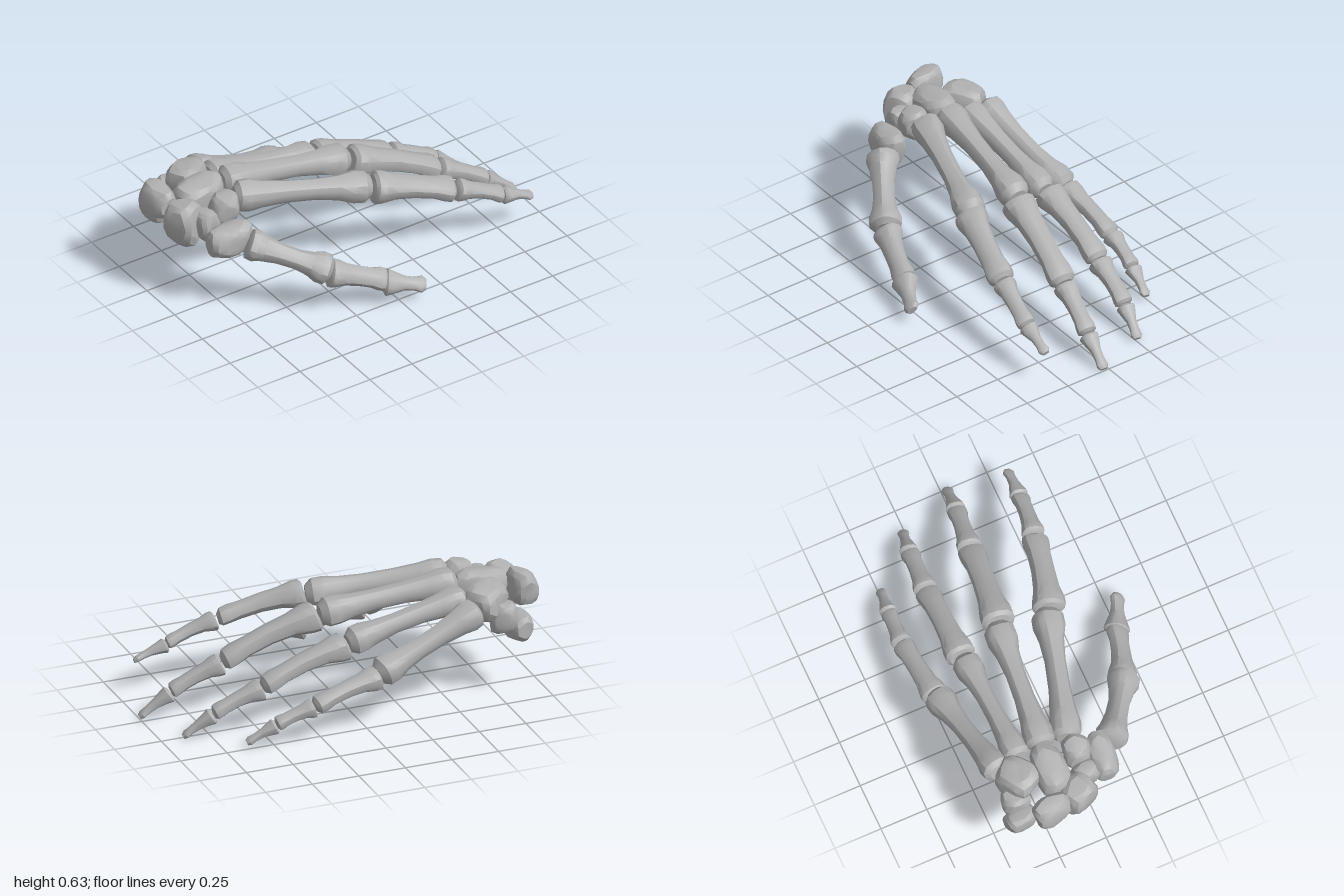
import * as THREE from 'three';
import { toCreasedNormals } from 'three/addons/utils/BufferGeometryUtils.js';

const SIDES = 12;

// Stations along a bone: [position 0..1, width factor, height factor]
const PROFILES = {
  metacarpal: [[0, .6, .6], [.03, .95, .95], [.1, 1, 1], [.2, .82, .84], [.38, .66, .7], [.6, .63, .67],
    [.76, .76, .78], [.87, 1, .97], [.95, .98, .98], [1, .62, .62]],
  phalanx: [[0, .75, .72], [.03, 1, .92], [.11, .98, .9], [.27, .78, .68], [.5, .7, .6], [.74, .7, .56],
    [.88, .82, .64], [.96, .8, .6], [1, .5, .36]],
  tip: [[0, .7, .66], [.06, 1, .85], [.2, .86, .7], [.48, .54, .48], [.72, .5, .38], [.9, .62, .38], [1, .4, .24]],
};

// Loft a bone from a to b: squarish rings, a flatter palm side, a shaft bowed upward
function boneGeometry(a, b, radius, profile, bow, roll) {
  const start = new THREE.Vector3(...a), end = new THREE.Vector3(...b);
  const dir = end.clone().sub(start).normalize();
  const side = new THREE.Vector3(0, 1, 0).cross(dir).normalize().applyAxisAngle(dir, roll);
  const up = dir.clone().cross(side);
  const pos = [], index = [];
  for (const [t, w, h] of profile) {
    const c = start.clone().lerp(end, t).addScaledVector(up, bow * Math.sin(Math.PI * t));
    // the knuckle end splits into two lobes underneath
    const groove = t > .8 && t < 1 ? .25 : 0;
    for (let j = 0; j < SIDES; j++) {
      const th = (j / SIDES) * Math.PI * 2, cs = Math.cos(th), sn = Math.sin(th);
      const x = Math.sign(cs) * Math.abs(cs) ** .8 * w * radius;
      let y = Math.sign(sn) * Math.abs(sn) ** .85 * h * radius;
      if (sn < 0) y *= .92 - groove * Math.max(0, -sn - .8) * 5;
      const p = c.clone().addScaledVector(side, x).addScaledVector(up, y);
      pos.push(p.x, p.y, p.z);
    }
  }
  const rings = profile.length;
  for (let i = 0; i < rings - 1; i++) {
    for (let j = 0; j < SIDES; j++) {
      const k = (j + 1) % SIDES, p = i * SIDES, q = p + SIDES;
      index.push(p + j, p + k, q + k, p + j, q + k, q + j);
    }
  }
  // end caps
  const last = (rings - 1) * SIDES;
  for (let j = 1; j < SIDES - 1; j++) {
    index.push(0, j + 1, j, last, last + j, last + j + 1);
  }
  const geo = new THREE.BufferGeometry();
  geo.setAttribute('position', new THREE.Float32BufferAttribute(pos, 3));
  geo.setIndex(index);
  return toCreasedNormals(geo, .6);
}

// Wrist bone: a rounded, slightly uneven pebble with worn flat faces
function pebbleGeometry(size, seed) {
  const geo = new THREE.IcosahedronGeometry(1, 2);
  const p = geo.attributes.position, v = new THREE.Vector3();
  for (let i = 0; i < p.count; i++) {
    v.fromBufferAttribute(p, i);
    const bump = 1 + .08 * Math.sin(3 * v.x + seed) * Math.cos(2.6 * v.y - seed * 2) + .05 * Math.sin(4 * v.z + seed * 3);
    const box = Math.max(Math.abs(v.x), Math.abs(v.y), Math.abs(v.z));
    v.multiplyScalar(bump * Math.min(1.08, .88 / box));
    p.setXYZ(i, v.x * size[0], v.y * size[1], v.z * size[2]);
  }
  geo.deleteAttribute('uv');
  return toCreasedNormals(geo, .5);
}

// Each bone: [kind, start, end, radius, bow]
const DIGITS = {
  thumb: { roll: .8, bones: [
    ['metacarpal', [-.68, .41, .165], [-.335, .245, .395], .082, .005],
    ['phalanx', [-.34, .228, .385], [-.06, .132, .478], .074, .01],
    ['tip', [-.07, .12, .475], [.12, .085, .565], .07, 0]] },
  indexFinger: { roll: .4, bones: [
    ['metacarpal', [-.62, .545, -.045], [.06, .46, .15], .08, .01],
    ['phalanx', [.06, .462, .168], [.48, .35, .272], .084, .018],
    ['phalanx', [.49, .345, .275], [.74, .243, .31], .058, .012],
    ['tip', [.74, .238, .31], [.91, .178, .32], .048, .006]] },
  middleFinger: { roll: .1, bones: [
    ['metacarpal', [-.61, .555, -.175], [.09, .468, -.105], .08, .01],
    ['phalanx', [.095, .458, -.09], [.58, .265, -.03], .086, .025],
    ['phalanx', [.585, .255, -.03], [.84, .13, .012], .062, .012],
    ['tip', [.84, .122, .012], [1, .012, .03], .05, .006]] },
  ringFinger: { roll: 0, bones: [
    ['metacarpal', [-.61, .52, -.30], [.025, .388, -.315], .074, .012],
    ['phalanx', [.035, .382, -.32], [.48, .232, -.315], .078, .025],
    ['phalanx', [.485, .222, -.313], [.735, .12, -.29], .06, .012],
    ['tip', [.735, .112, -.29], [.885, .01, -.26], .048, .006]] },
  littleFinger: { roll: -.2, bones: [
    ['metacarpal', [-.63, .495, -.415], [-.06, .282, -.502], .078, 0],
    ['phalanx', [-.06, .272, -.506], [.29, .185, -.53], .067, .016],
    ['phalanx', [.295, .18, -.53], [.49, .115, -.513], .052, .008],
    ['tip', [.49, .108, -.513], [.64, .032, -.49], .045, .004]] },
};
const SEGMENTS = ['Metacarpal', 'ProximalPhalanx', 'MiddlePhalanx', 'DistalPhalanx'];

// Each wrist bone: name, centre, half sizes, turn about y
const WRIST = [
  ['lunate', [-.925, .515, -.265], [.07, .095, .105], .15],
  ['scaphoid', [-.885, .465, -.1], [.083, .125, .1], .5],
  ['capitate', [-.73, .525, -.185], [.145, .095, .092], 0],
  ['hamate', [-.7, .51, -.345], [.115, .105, .1], .6],
  ['triquetrum', [-.775, .43, -.395], [.075, .09, .08], -.2],
  ['pisiform', [-.855, .37, -.4], [.065, .08, .085], .2],
  ['trapezoid', [-.69, .515, -.025], [.08, .09, .078], -.2],
  ['smallWedge', [-.8, .46, -.025], [.06, .09, .07], .2],
  ['trapezium', [-.735, .415, .095], [.128, .092, .082], -.15],
];

export function createModel() {
  const bone = new THREE.MeshStandardMaterial({ color: 0xb0b0b0 });
  bone.name = 'bone grey';
  const hand = new THREE.Group();
  hand.name = 'handSkeleton';

  for (const [name, { roll, bones }] of Object.entries(DIGITS)) {
    const digit = new THREE.Group();
    digit.name = name;
    bones.forEach(([kind, a, b, r, bow], i) => {
      const mesh = new THREE.Mesh(boneGeometry(a, b, r, PROFILES[kind], bow, roll), bone);
      mesh.name = name + SEGMENTS[kind === 'tip' ? 3 : i];
      digit.add(mesh);
    });
    hand.add(digit);
  }

  const wrist = new THREE.Group();
  wrist.name = 'wrist';
  WRIST.forEach(([name, centre, size, turn], i) => {
    const mesh = new THREE.Mesh(pebbleGeometry(size, i + 1), bone);
    mesh.name = name;
    mesh.position.set(...centre);
    mesh.rotation.y = turn;
    wrist.add(mesh);
  });
  hand.add(wrist);
  return hand;
}
